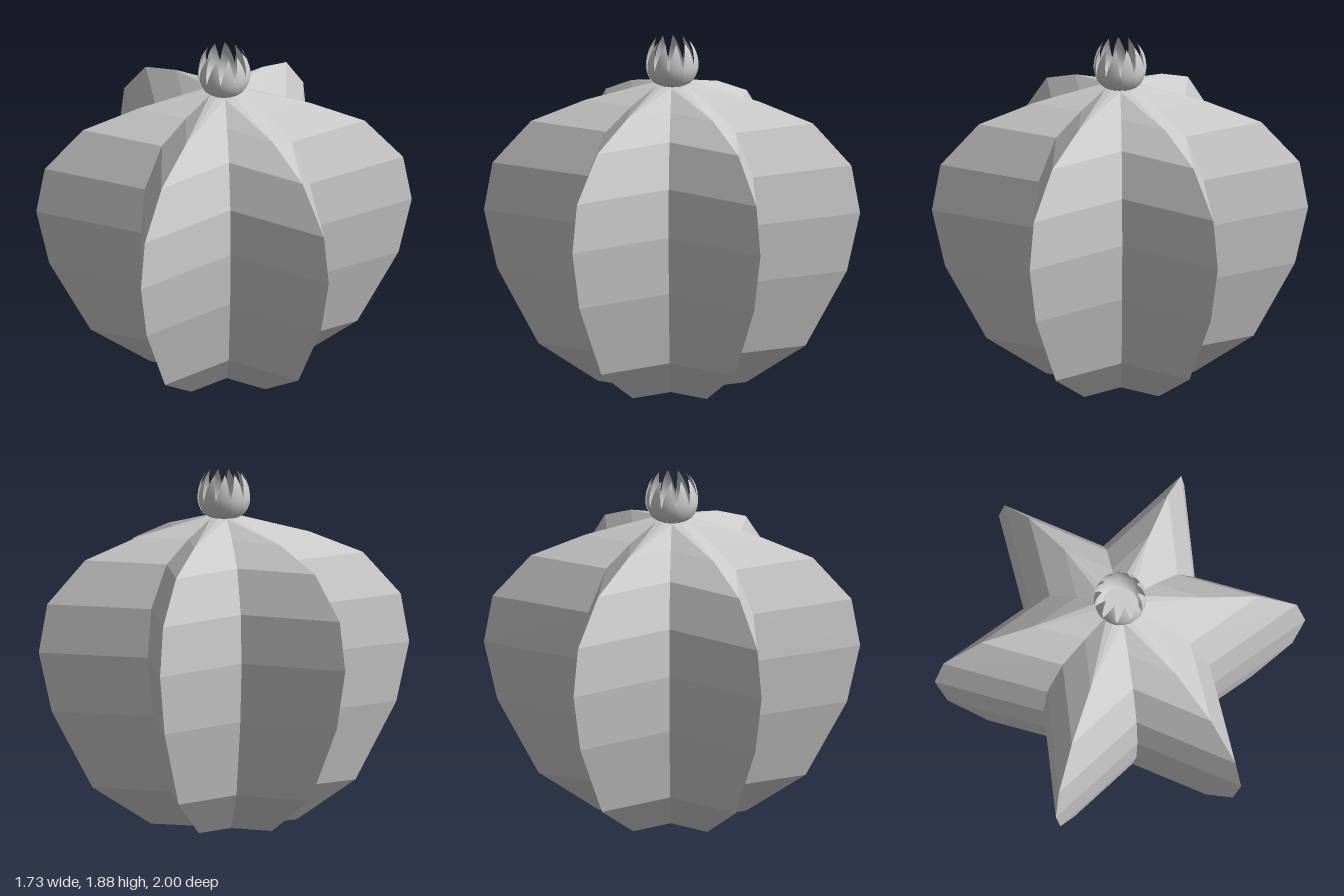
import * as THREE from 'three';

const RIBS = 6;
const PETALS = 11;

// Body rings from bottom to top: [height, ridge radius, valley radius]
const RINGS = [
  [0, 0.394, 0.209], [0.205, 0.71, 0.376], [0.62, 0.93, 0.493], [0.94, 1, 0.53],
  [1.2, 0.954, 0.506], [1.43, 0.75, 0.398], [1.55, 0.46, 0.244], [1.645, 0.1, 0.09],
];

// Star-shaped body with faceted ribs; even corners are ridges, odd ones valleys
function bodyGeometry() {
  const n = RIBS * 2;
  const pos = [];
  const point = (ring, j) => {
    const [y, ridge, valley] = RINGS[ring];
    const a = (j / n) * Math.PI * 2;
    const r = j % 2 ? valley : ridge;
    return [r * Math.sin(a), y, r * Math.cos(a)];
  };
  const tri = (a, b, c) => pos.push(...a, ...b, ...c);
  const top = RINGS.length - 1;
  for (let j = 0; j < n; j++) {
    for (let i = 0; i < top; i++) {
      const a = point(i, j), b = point(i, j + 1);
      const c = point(i + 1, j + 1), d = point(i + 1, j);
      // the diagonal always starts at the lower ridge corner
      if (j % 2) { tri(a, b, d); tri(b, c, d); }
      else { tri(a, b, c); tri(a, c, d); }
    }
    // bottom and top caps
    tri([0, 0, 0], point(0, j + 1), point(0, j));
    tri([0, RINGS[top][0], 0], point(top, j), point(top, j + 1));
  }
  const geo = new THREE.BufferGeometry();
  geo.setAttribute('position', new THREE.Float32BufferAttribute(pos, 3));
  geo.computeVertexNormals();
  return geo;
}

// One pointed, cupped petal; one edge tucks under its neighbour
function petalGeometry() {
  const profile = new THREE.CatmullRomCurve3([
    [0.07, 1.64], [0.11, 1.665], [0.136, 1.72], [0.137, 1.775], [0.122, 1.835], [0.095, 1.885],
  ].map(([r, y]) => new THREE.Vector3(r, y, 0)));
  const rows = 14, cols = 6;
  const geo = new THREE.PlaneGeometry(1, 1, cols, rows);
  const p = geo.attributes.position;
  for (let k = 0; k < p.count; k++) {
    const u = p.getX(k) * 2;
    const s = p.getY(k) + 0.5;
    const q = profile.getPoint(s);
    const taper = s < 0.4 ? 1 : Math.pow(1 - (s - 0.4) / 0.6, 0.75);
    const angle = u * taper * 1.15 * Math.PI / PETALS + 0.12 * s * s;
    const r = q.x + u * taper * 0.006 * s;
    p.setXYZ(k, r * Math.sin(angle), q.y, r * Math.cos(angle));
  }
  geo.computeVertexNormals();
  return geo;
}

export function createModel() {
  const model = new THREE.Group();
  model.name = 'cactus';

  const body = new THREE.Mesh(bodyGeometry(),
    new THREE.MeshStandardMaterial({ color: 0xcccccc, flatShading: true }));
  body.name = 'ribbedBody';
  model.add(body);

  // Flower bud on the crown
  const flower = new THREE.Group();
  flower.name = 'flower';
  const material = new THREE.MeshStandardMaterial({ color: 0xcccccc, side: THREE.DoubleSide });
  const petal = petalGeometry();
  for (let i = 0; i < PETALS; i++) {
    const mesh = new THREE.Mesh(petal, material);
    mesh.name = 'petal';
    mesh.rotation.y = (i / PETALS) * Math.PI * 2;
    flower.add(mesh);
  }
  const base = new THREE.Mesh(new THREE.CircleGeometry(0.1, 24), material);
  base.name = 'flowerBase';
  base.rotation.x = -Math.PI / 2;
  base.position.y = 1.655;
  flower.add(base);
  model.add(flower);

  return model;
}
